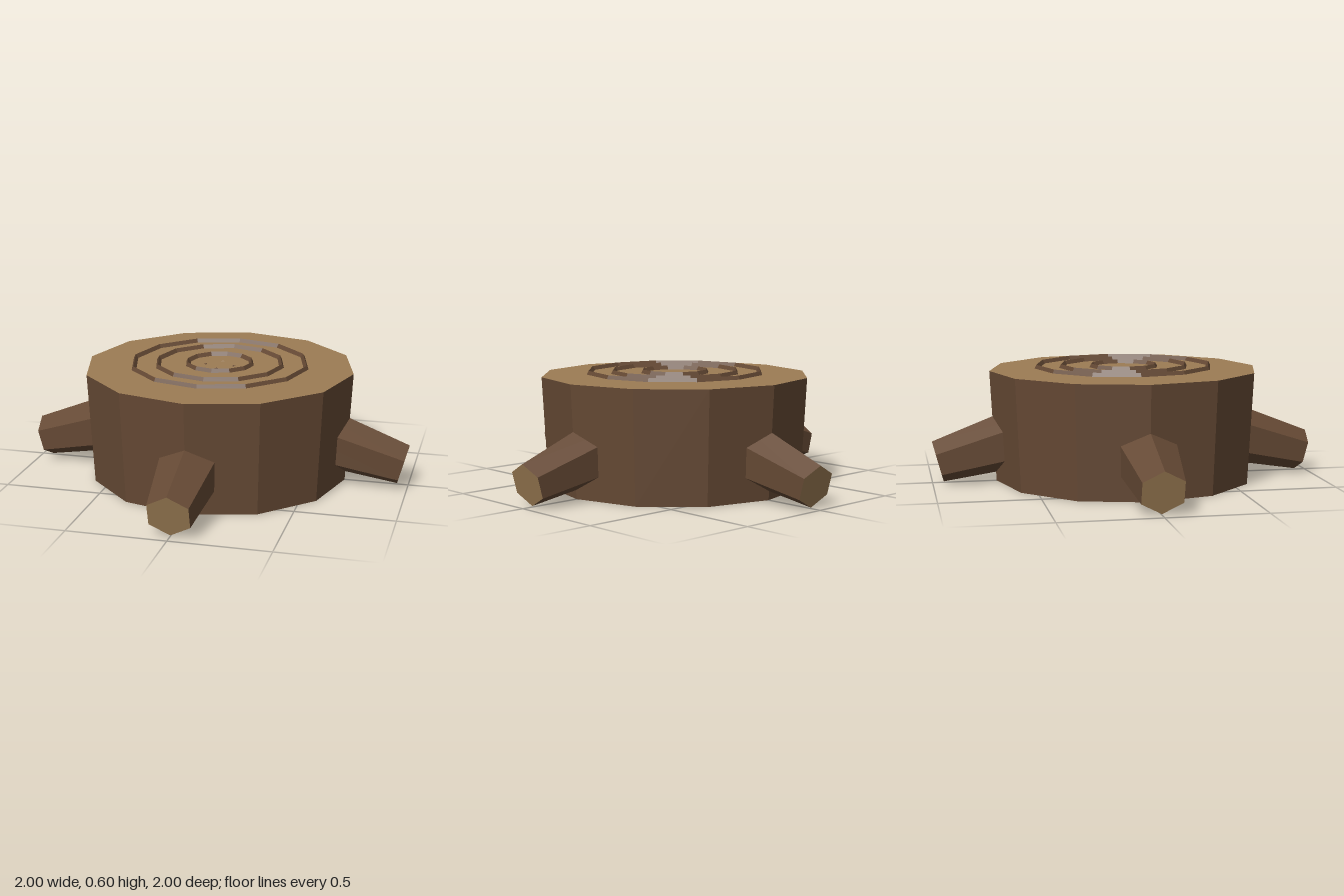
import * as THREE from 'three';

export function createModel() {
  const bark = new THREE.MeshStandardMaterial({ color: 0x65493a });
  bark.color.set(0x654934);
  bark.name = 'bark brown';
  bark.flatShading = true;
  const cut = new THREE.MeshStandardMaterial({ color: 0x9c7c54 });
  cut.name = 'cut wood tan';
  cut.flatShading = true;

  const model = new THREE.Group();
  model.name = 'treeStump';
  const add = (name, geometry, material, parent = model) => {
    const mesh = new THREE.Mesh(geometry, material);
    mesh.name = name;
    parent.add(mesh);
    return mesh;
  };

  // Trunk, slightly wider at the top, with pale cut ends
  const height = 0.572;
  const trunk = add('trunk', new THREE.CylinderGeometry(0.7, 0.67, height, 12), [bark, cut, cut]);
  trunk.position.y = height / 2;

  // Growth rings: thin raised bands with a triangular section
  [0.455, 0.327, 0.168].forEach((r, i) => {
    const section = [[-0.012, 0.58], [0.012, 0.58], [0.002, 0.599], [-0.012, 0.58]];
    const points = section.map(([x, y]) => new THREE.Vector2(r + x, y));
    add('growthRing' + (i + 1), new THREE.LatheGeometry(points, 12), bark);
  });

  // Roots: hexagonal tapers running from the heart of the trunk down to the ground
  const length = 0.99, tilt = THREE.MathUtils.degToRad(15);
  const rootGeometry = new THREE.CylinderGeometry(0.109, 0.219, length, 6);
  rootGeometry.scale(1.07, 1, 1);
  rootGeometry.translate(0, -length / 2, 0);   // origin at the cut tip
  rootGeometry.rotateX(Math.PI / 2 + tilt);    // point outward along +z and down
  rootGeometry.translate(0, 0.11, 0.971);
  for (let i = 0; i < 4; i++) {
    const root = add('root' + (i + 1), rootGeometry, [bark, cut, cut]);
    root.rotation.y = (i * Math.PI) / 2;
  }
  return model;
}
